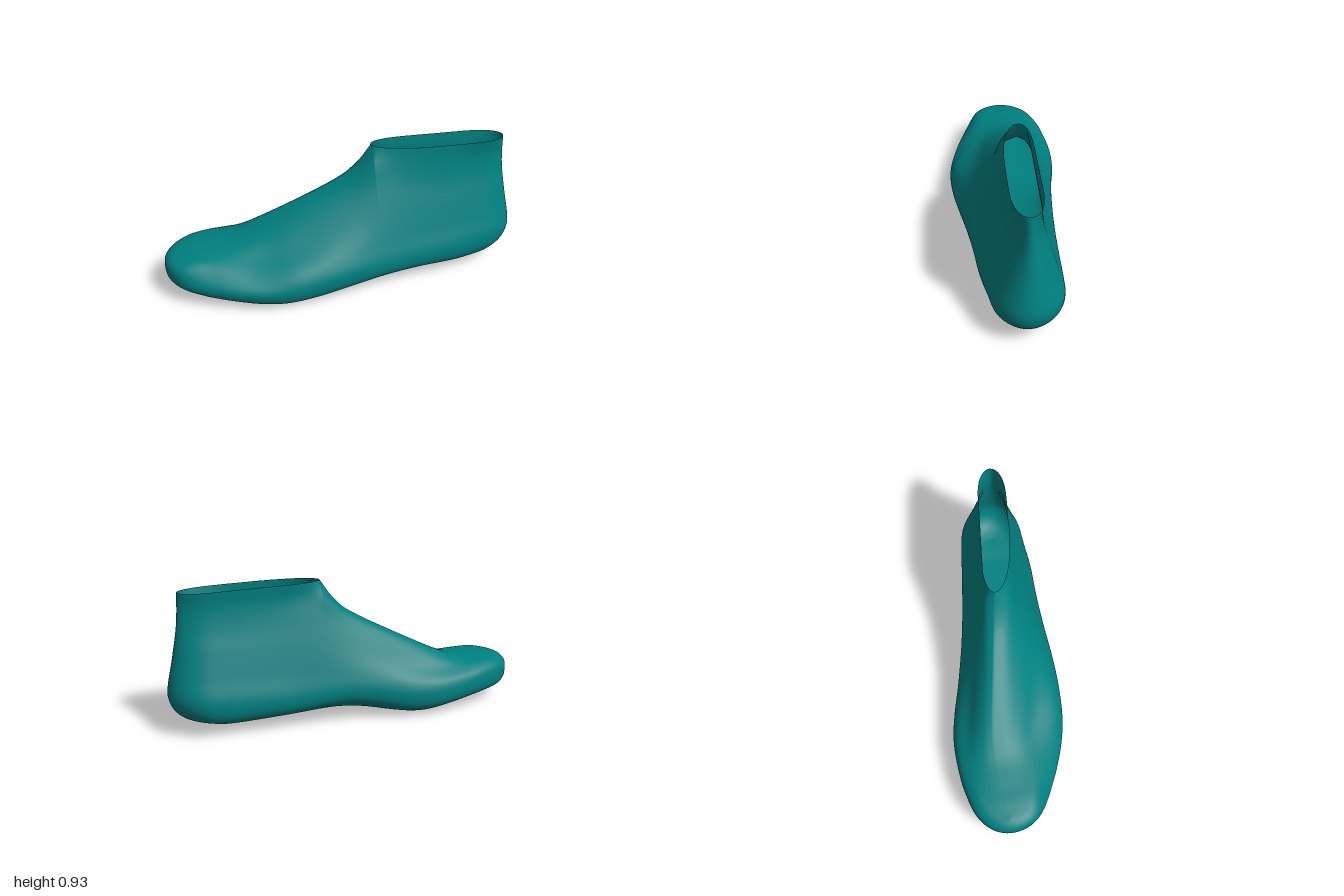
import * as THREE from 'three';
import { mergeVertices } from 'three/addons/utils/BufferGeometryUtils.js';

// Smooth curve through [position, value] pairs
function track(...pts) {
  const slope = (i) => {
    const a = pts[Math.max(i - 1, 0)], b = pts[Math.min(i + 1, pts.length - 1)];
    return (b[1] - a[1]) / (b[0] - a[0]);
  };
  return (x) => {
    let i = 0;
    while (i < pts.length - 2 && x > pts[i + 1][0]) i++;
    const [x0, y0] = pts[i], [x1, y1] = pts[i + 1], h = x1 - x0;
    const u = THREE.MathUtils.clamp((x - x0) / h, 0, 1), u2 = u * u, u3 = u2 * u;
    return y0 * (2 * u3 - 3 * u2 + 1) + y1 * (3 * u2 - 2 * u3)
      + h * (slope(i) * (u3 - 2 * u2 + u) + slope(i + 1) * (u3 - u2));
  };
}

// s runs from heel to toe, t across the foot
const HEEL = -1.203, COLLAR = -0.205, TOE = 1.182;
const { lerp, smoothstep } = THREE.MathUtils;

// Plan outline on both sides, and the line of the ridge
const edgePlus = track([-1.203, 0.245], [-0.95, 0.263], [-0.7, 0.303], [-0.47, 0.321], [-0.24, 0.347], [0, 0.382],
  [0.21, 0.404], [0.42, 0.406], [0.6, 0.378], [0.79, 0.32], [0.92, 0.268], [1.02, 0.238], [1.182, 0.22]);
const edgeMinus = track([-1.203, -0.155], [-0.95, -0.182], [-0.56, -0.208], [-0.36, -0.223], [-0.17, -0.242], [0, -0.266],
  [0.18, -0.299], [0.33, -0.332], [0.49, -0.354], [0.63, -0.351], [0.83, -0.322], [0.95, -0.29], [1.182, -0.255]);
const centre = track([-1.203, 0.05], [-0.6, 0.05], [0, 0.05], [0.5, 0.02], [1.182, -0.03]);
const ridge = track([-1.203, 0.05], [-0.6, 0.035], [-0.2, 0], [0.27, -0.056], [0.6, -0.09], [0.9, -0.07], [1.182, -0.03]);

// Side profile: sole, widest level, instep and heel curve
const soleY = track([-1.203, 0.08], [-0.9, 0.07], [-0.5, 0.074], [-0.25, 0.066], [0, 0.042], [0.25, 0.012],
  [0.5, 0], [0.9, 0.05], [1.182, 0.093]);
const wideY = track([-1.203, 0.26], [-0.5, 0.22], [0, 0.2], [0.5, 0.14], [0.95, 0.165], [1.182, 0.19]);
const instepY = track([-0.205, 0.925], [-0.12, 0.805], [-0.025, 0.715], [0.27, 0.552], [0.573, 0.4], [0.72, 0.337],
  [0.9, 0.314], [1.05, 0.307], [1.182, 0.293]);
const topY = (s) => (s <= COLLAR ? lerp(0.91, 0.925, (s - HEEL) / (COLLAR - HEEL)) : instepY(s));
const heelIn = track([0.075, 0.19], [0.1, 0.1], [0.14, 0.045], [0.2, 0.01], [0.28, 0], [0.5, 0.044], [0.7, 0.08], [0.91, 0.097]);

// Top profile with its corner eased, to keep the flanks smooth below it
function easedTopY(s) {
  let sum = 0;
  for (let k = -6; k <= 6; k++) sum += topY(s + k * 0.035) * (7 - Math.abs(k));
  return sum / 49;
}

// Upper part of the cross-section: width and height fractions at each station
const stations = [-1.203, -0.5, 0, 0.5, 0.95, 1.182];
const byStation = (rows) => rows.map((row) => track(...row.map((v, i) => [stations[i], v])));
const widths = byStation([
  [0.83, 0.84, 0.89, 0.92, 0.95, 0.95],
  [0.62, 0.64, 0.64, 0.60, 0.76, 0.76],
  [0.45, 0.46, 0.39, 0.40, 0.50, 0.50],
  [0.38, 0.36, 0.20, 0.20, 0.24, 0.24]]);
const heights = byStation([
  [0.20, 0.20, 0.21, 0.28, 0.55, 0.55],
  [0.45, 0.45, 0.50, 0.55, 0.84, 0.84],
  [0.65, 0.67, 0.77, 0.78, 0.94, 0.94],
  [0.85, 0.86, 0.93, 0.94, 0.985, 0.985]]);

// Rounds the plan off at heel and toe
function endRound(s) {
  if (s < -0.95) return Math.sqrt(Math.max(0, 1 - ((-0.95 - s) / (-0.95 - HEEL)) ** 2.2));
  if (s > 0.88) return Math.sqrt(Math.max(0, 1 - ((s - 0.88) / (TOE - 0.88)) ** 2.6));
  return 1;
}

// Half width of the ankle opening, blunter at the heel
function collarWidth(s) {
  const x = (s - (HEEL + COLLAR) / 2) / ((COLLAR - HEEL) / 2);
  return s < COLLAR ? 0.094 * Math.sqrt(Math.max(0, 1 - Math.abs(x) ** (x < 0 ? 5 : 3.5))) : 0;
}

// One side of a cross-section, from the middle of the sole to the top
function halfSection(s, side, rows) {
  const c = centre(s), top = ridge(s), sole = soleY(s), yTop = topY(s), yEased = easedTopY(s);
  const edge = lerp(c, side > 0 ? edgePlus(s) : edgeMinus(s), endRound(s));
  // The inner edge of the sole lifts at the arch and toward the big toe
  const lift = side < 0
    ? 0.06 * Math.exp(-(((s + 0.05) / 0.3) ** 2)) + 0.03 * smoothstep(s, 0.3, 0.65) * (1 - smoothstep(s, 0.8, TOE)) : 0;
  // The small toes lie lower than the big toe
  const slim = side > 0 ? 1 - 0.13 * smoothstep(s, 0.35, 0.7) * (1 - smoothstep(s, 0.9, TOE)) : 1;
  const wide = wideY(s) + lift * 0.5;
  const pts = [
    [c, sole], [lerp(c, edge, 0.4), sole + 0.002 + lift * 0.2], [lerp(c, edge, 0.77), sole + 0.012 + lift * 0.7],
    [lerp(c, edge, 0.955), lerp(sole + lift, wide, 0.4)], [edge, wide]];
  widths.forEach((w, i) => {
    const h = heights[i](s);
    pts.push([lerp(top, edge, w(s) * slim), lerp(wide, lerp(yEased, yTop, h ** 4), h)]);
  });
  pts.push([top + side * collarWidth(s), yTop]);
  const curve = new THREE.CatmullRomCurve3(pts.map(([t, y]) => new THREE.Vector3(t, y, 0)));

  const heelFade = 1 - smoothstep(s, HEEL, -0.75), toeFade = smoothstep(s, 0.85, TOE);
  return Array.from({ length: rows + 1 }, (_, j) => {
    const { x: t, y } = curve.getPoint(j / rows);
    const q = Math.min(1, Math.abs((2 * y - sole - yTop) / (yTop - sole)));
    const along = s + heelFade * heelIn(y) - toeFade * 0.075 * q ** 3.5;
    // Turn the long axis diagonally on the ground
    return [-0.571 * along + 0.821 * t, y, 0.821 * along + 0.571 * t];
  });
}

export function createModel() {
  const group = new THREE.Group();
  group.name = 'shoeLast';
  const nCone = 40, nFoot = 56, rows = 44;

  // Sections crowd together toward the rounded ends
  const ease = (u) => (1 - Math.cos(Math.PI * u)) / 2;
  const sections = [];
  for (let i = 0; i <= nCone; i++) sections.push(lerp(HEEL, COLLAR, ease(i / nCone)));
  for (let i = 1; i <= nFoot; i++) sections.push(lerp(COLLAR, TOE, ease(i / nFoot)));

  // Foot shell, both sides, left open at the ankle
  const positions = [], index = [];
  for (const side of [1, -1]) {
    const start = positions.length;
    sections.forEach((s, i) => {
      positions.push(...halfSection(s, side, rows));
      if (i === 0) return;
      for (let j = 0; j < rows; j++) {
        const b = start + i * (rows + 1) + j, a = b - rows - 1;
        if (side > 0) index.push(a, a + 1, b + 1, a, b + 1, b);
        else index.push(a, b, b + 1, a, b + 1, a + 1);
      }
    });
  }
  const geometry = new THREE.BufferGeometry();
  geometry.setAttribute('position', new THREE.Float32BufferAttribute(positions.flat(), 3));
  geometry.setIndex(index);
  const welded = mergeVertices(geometry, 1e-5);
  welded.computeVertexNormals();

  const shell = new THREE.Mesh(welded, new THREE.MeshStandardMaterial({ color: 0x008080, side: THREE.DoubleSide }));
  shell.name = 'footShell';
  group.add(shell);
  return group;
}
